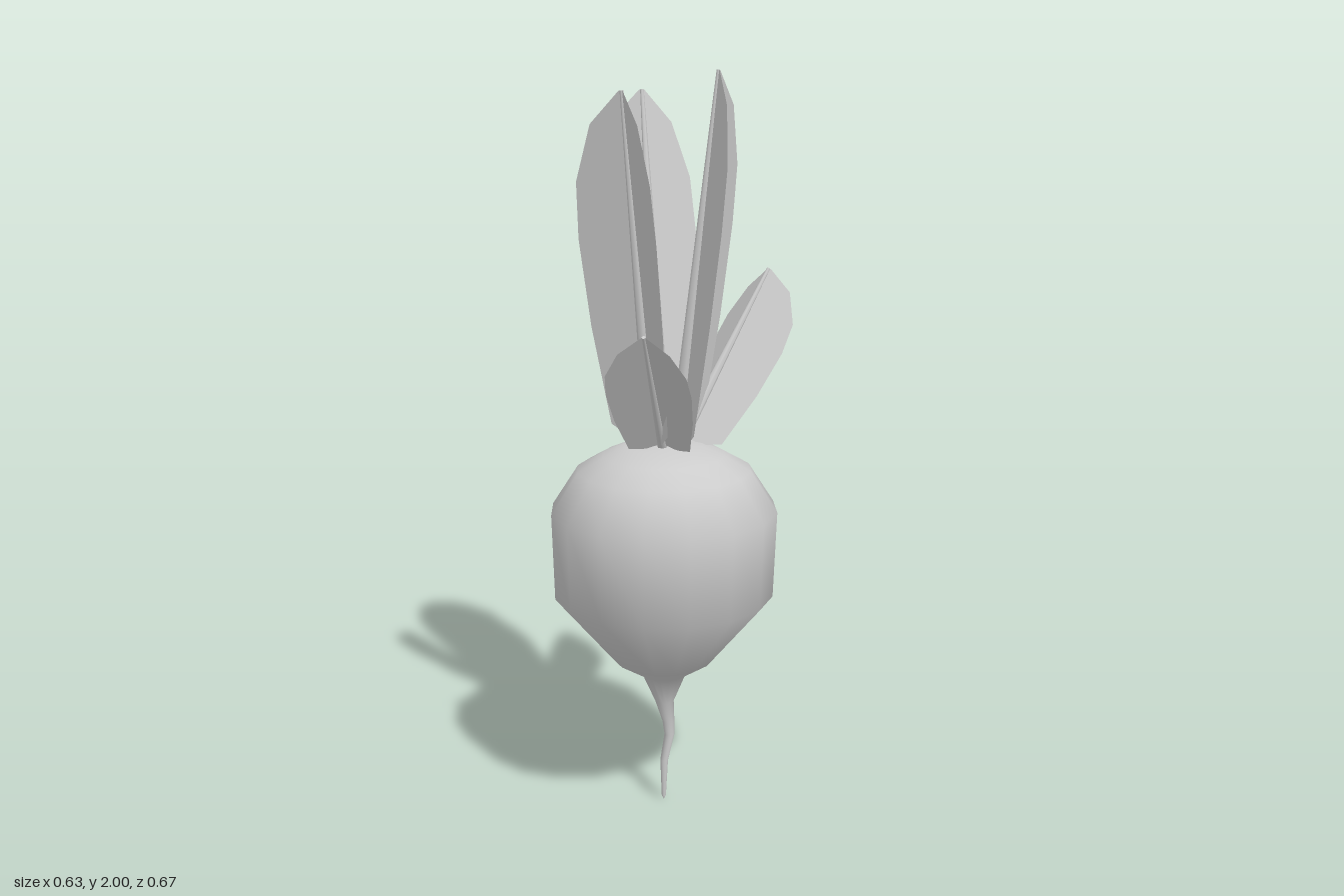
import * as THREE from 'three';

const rootMaterial = new THREE.MeshStandardMaterial({ color: 0xcccccc });
const bladeMaterial = new THREE.MeshStandardMaterial({ color: 0xcccccc, side: THREE.DoubleSide });

// Root profile, bottom to top: height, radius, sideways drift of the centre
const ROOT = [
  [0, 0, -0.006], [0.012, 0.006, -0.006], [0.12, 0.011, -0.005], [0.2, 0.014, 0.01],
  [0.24, 0.017, 0.007], [0.3, 0.026, -0.004], [0.38, 0.06, -0.005], [0.43, 0.138, -0.006],
  [0.62, 0.298, -0.006], [0.855, 0.306, -0.005], [0.965, 0.235, -0.005], [1.005, 0.165, -0.005],
  [1.03, 0.105, -0.005], [1.038, 0, -0.005],
];

// Half-leaf outline: fraction along the rib, fraction of the half width
const OUTLINE = [
  [0.03, 0], [0.02, 0.4], [0.06, 0.74], [0.35, 0.93], [0.6, 1], [0.76, 0.94], [0.915, 0.6], [1, 0.05], [1, 0],
];

function createRoot() {
  const geometry = new THREE.LatheGeometry(ROOT.map(([y, r]) => new THREE.Vector2(r, y)), 16);
  const pos = geometry.attributes.position;
  for (let i = 0; i < pos.count; i++) {
    const drift = ROOT[i % ROOT.length][2]; // wiggle the tail
    pos.setX(i, pos.getX(i) + drift);
    pos.setZ(i, pos.getZ(i) * 1.045 + 0.018);
  }
  const mesh = new THREE.Mesh(geometry, rootMaterial);
  mesh.name = 'root';
  return mesh;
}

// A tapered rib with two flat half blades folded away from the middle of the plant
function createLeaf({ name, base, tip, halfWidth, ribRadius }) {
  const leaf = new THREE.Group();
  leaf.name = name;
  const start = new THREE.Vector3(...base);
  const along = new THREE.Vector3(...tip).sub(start);
  const length = along.length();
  along.normalize();
  const across = new THREE.Vector3(0, 1, 0).cross(along).normalize();
  const back = across.clone().cross(along).normalize();
  if (back.y > 0) back.negate();

  const ribGeometry = new THREE.CylinderGeometry(0.005, ribRadius, length + 0.01, 8);
  ribGeometry.translate(0, length / 2 - 0.005, 0);
  const rib = new THREE.Mesh(ribGeometry, rootMaterial);
  rib.name = 'rib';
  rib.quaternion.setFromUnitVectors(new THREE.Vector3(0, 1, 0), along);
  leaf.add(rib);

  for (const side of [1, -1]) {
    const outward = across.clone().multiplyScalar(side).addScaledVector(back, 0.43);
    const width = halfWidth * outward.length();
    outward.normalize();
    const shape = new THREE.Shape(OUTLINE.map(([t, w]) => new THREE.Vector2(w * width, t * length)));
    const blade = new THREE.Mesh(new THREE.ShapeGeometry(shape), bladeMaterial);
    blade.name = side > 0 ? 'bladeLeft' : 'bladeRight';
    const normal = outward.clone().cross(along);
    blade.quaternion.setFromRotationMatrix(new THREE.Matrix4().makeBasis(outward, along, normal));
    leaf.add(blade);
  }
  leaf.position.copy(start);
  return leaf;
}

export function createModel() {
  const model = new THREE.Group();
  model.name = 'rootVegetable';
  model.add(createRoot());

  const leaves = [
    { name: 'tallLeafBack', base: [-0.015, 1.03, -0.03], tip: [-0.105, 1.95, -0.23], halfWidth: 0.145, ribRadius: 0.024 },
    { name: 'tallLeafLeft', base: [0.035, 1.03, 0.028], tip: [0.135, 2, 0.025], halfWidth: 0.153, ribRadius: 0.025 },
    { name: 'tallLeafRight', base: [-0.03, 1.03, 0.03], tip: [-0.095, 1.95, 0.115], halfWidth: 0.148, ribRadius: 0.025 },
    { name: 'mediumLeafBack', base: [0.035, 1.03, -0.03], tip: [0.24, 1.47, -0.273], halfWidth: 0.137, ribRadius: 0.018 },
    { name: 'shortLeafFront', base: [-0.002, 1.035, 0.06], tip: [-0.01, 1.365, 0.295], halfWidth: 0.11, ribRadius: 0.014 },
  ];
  for (const leaf of leaves) model.add(createLeaf(leaf));
  return model;
}
